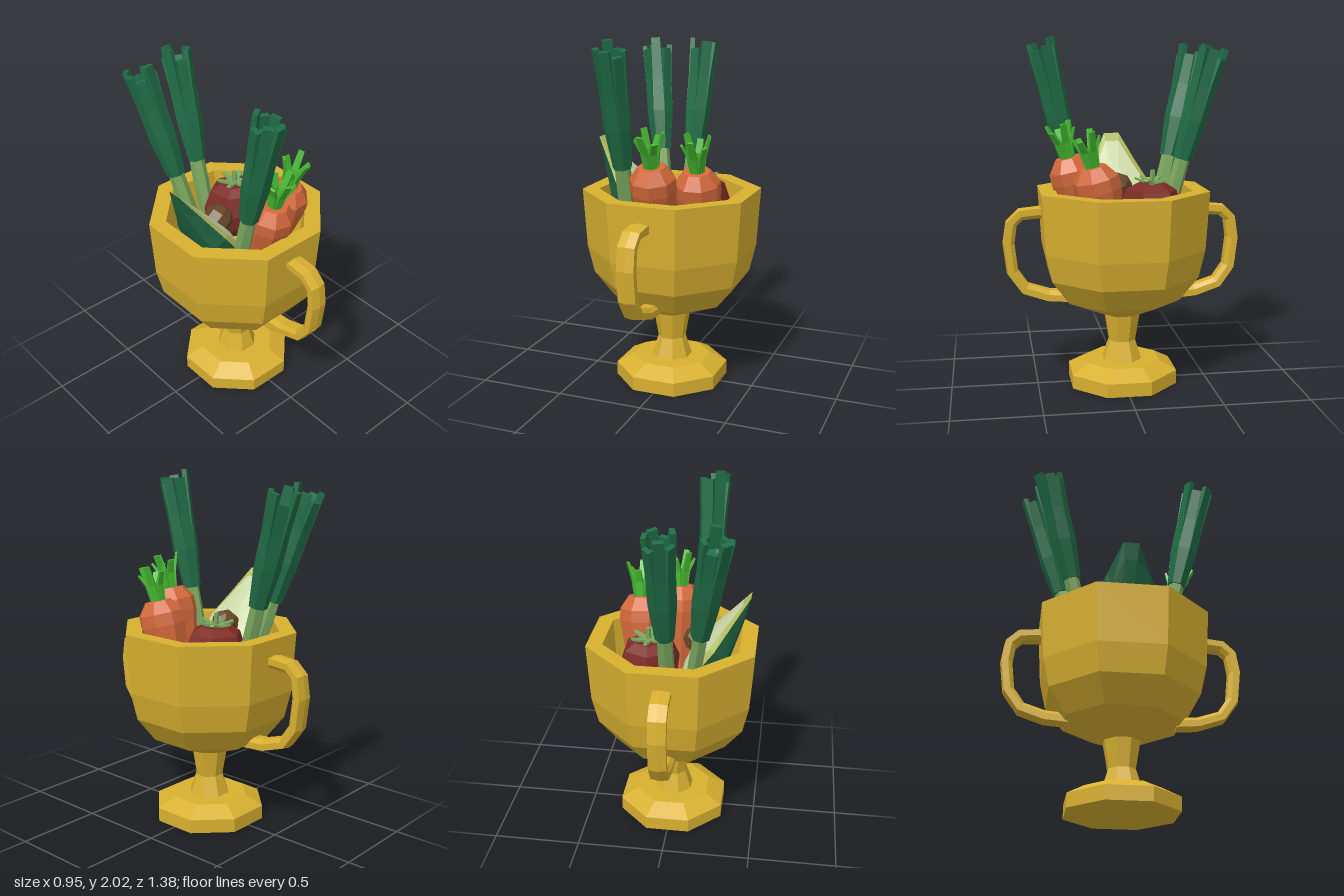
import * as THREE from 'three';

const mat = (name, color) => {
  const m = new THREE.MeshStandardMaterial({ color });
  m.name = name;
  return m;
};
const gold = mat('gold', 0xd8b030);
const orange = mat('carrotOrange', 0xd2683a);
const bright = mat('carrotLeafGreen', 0x43b52e);
const tomatoRed = mat('tomatoRed', 0x7d2b24);
const paleGreen = mat('stemGreen', 0x7aa65e);
const leekGreen = mat('leekLeafGreen', 0x1f6b45);
const skinGreen = mat('avocadoSkin', 0x1e6040);
const rimGreen = mat('avocadoRim', 0xb0bc60);
const flesh = mat('avocadoFlesh', 0xccd8a8);
const pitBrown = mat('pitBrown', 0x674526);

// Faceted mesh
function part(name, geo, material, parent) {
  const g = geo.index ? geo.toNonIndexed() : geo;
  g.computeVertexNormals();
  const mesh = new THREE.Mesh(g, material);
  mesh.name = name;
  parent.add(mesh);
  return mesh;
}

// Turned shape; the profile runs upward along the outside
const lathe = (pts, sides, phi = 0) =>
  new THREE.LatheGeometry(pts.map(([x, y]) => new THREE.Vector2(x, y)), sides, phi);

// Skin over rings of equal point count
function loft(rings, capStart = true, capEnd = true) {
  const pos = [];
  const tri = (...v) => v.forEach((p) => pos.push(p.x, p.y, p.z));
  const n = rings[0].length;
  const mid = (r) => r.reduce((s, p) => s.add(p), new THREE.Vector3()).divideScalar(n);
  const first = rings[0], last = rings[rings.length - 1];
  const c0 = mid(first), c1 = mid(last);
  for (let j = 0; j < n; j++) {
    const k = (j + 1) % n;
    for (let i = 0; i < rings.length - 1; i++) {
      const a = rings[i], b = rings[i + 1];
      tri(a[j], a[k], b[k]);
      tri(a[j], b[k], b[j]);
    }
    if (capStart) tri(c0, first[k], first[j]);
    if (capEnd) tri(c1, last[j], last[k]);
  }
  const g = new THREE.BufferGeometry();
  g.setAttribute('position', new THREE.Float32BufferAttribute(pos, 3));
  return g;
}

// Sweep a section [normal, side] along a path [radius, height, sideScale, normalScale]
const BOX = [[1, 1], [1, -1], [-1, -1], [-1, 1]];
function sweep(path, section = BOX) {
  return loft(path.map(([r, y, sw = 1, sn = 1], i) => {
    const a = path[Math.max(i - 1, 0)], b = path[Math.min(i + 1, path.length - 1)];
    const t = new THREE.Vector2(b[0] - a[0], b[1] - a[1]).normalize();
    return section.map(([n, w]) =>
      new THREE.Vector3(r + t.y * n * sn, y - t.x * n * sn, w * sw));
  }));
}

// Group standing at a point and leaning along a direction
function leaning(name, at, dir, parent) {
  const g = new THREE.Group();
  g.name = name;
  g.position.set(...at);
  g.quaternion.setFromUnitVectors(new THREE.Vector3(0, 1, 0), new THREE.Vector3(...dir).normalize());
  parent.add(g);
  return g;
}

function addCup(root) {
  const k = 1 / Math.cos(Math.PI / 8);
  const profile = [
    [0, 0], [0.305, 0], [0.305, 0.08], [0.21, 0.135], [0.11, 0.135], [0.075, 0.25],
    [0.1, 0.41], [0.32, 0.51], [0.42, 0.65], [0.455, 0.81], [0.475, 1.15],
    [0.385, 1.15], [0.365, 0.82], [0.3, 0.66], [0, 0.56],
  ].map(([x, y]) => [x * k, y]);
  part('cup', lathe(profile, 8, Math.PI / 8), gold, root);

  // Ear handles at front and back
  const path = [[0.3, 0.525], [0.43, 0.535], [0.565, 0.58], [0.635, 0.68], [0.655, 0.85],
    [0.638, 0.965], [0.585, 1.015], [0.48, 1.025], [0.43, 1.01]];
  const section = [[0.035, 0], [0.027, -0.05], [-0.01, -0.05], [-0.033, -0.028],
    [-0.033, 0.028], [-0.01, 0.05], [0.027, 0.05]];
  for (const s of [-1, 1]) {
    part(s < 0 ? 'frontHandle' : 'backHandle', sweep(path, section).rotateY(s * Math.PI / 2), gold, root);
  }
}

function addLeek(at, top, seed, root) {
  const dir = top.map((v, i) => v - at[i]);
  const len = Math.hypot(...dir);
  const g = leaning('leek', at, dir, root);
  part('leekStem', lathe([[0, -0.45], [0.045, -0.45], [0.046, 0.05], [0.043, 0.2], [0, 0.2]], 6), paleGreen, g);
  part('leekCore', lathe([[0, 0.18], [0.045, 0.18], [0.058, 0.4], [0.05, len - 0.12], [0, len - 0.14]], 6), leekGreen, g);
  for (let i = 0; i < 7; i++) {
    const drop = 0.035 + 0.035 * Math.sin(seed + i * 2.4);
    const leaf = sweep([[0.03, 0.17, 0.024, 0.018], [0.05, 0.4, 0.034, 0.02],
      [0.055, 0.6, 0.03, 0.018], [0.072, len - drop, 0.027, 0.014]]);
    part('leekLeaf', leaf.rotateY(seed + i * Math.PI * 2 / 7), leekGreen, g);
  }
}

function addCarrot(at, dir, turn, root) {
  const g = leaning('carrot', at, dir, root);
  part('carrotRoot', lathe([[0, -0.62], [0.05, -0.55], [0.105, -0.3], [0.132, -0.14],
    [0.13, -0.07], [0.078, 0], [0, 0]], 8, turn), orange, g);
  part('carrotCrown', lathe([[0.042, -0.01], [0.04, 0.05], [0, 0.06]], 6), bright, g);
  for (let i = 0; i < 6; i++) {
    const h = i % 2 ? 0.16 : 0.2;
    const leaf = sweep([[0.025, -0.01, 0.018, 0.014], [0.042, 0.09, 0.02, 0.01], [0.078, h, 0.017, 0.006]]);
    part('carrotLeaf', leaf.rotateY(turn + i * Math.PI / 3), bright, g);
  }
}

function addTomato(root) {
  const g = leaning('tomato', [0.12, 1.19, -0.155], [0.02, 1, -0.05], root);
  part('tomatoBody', lathe([[0, -0.34], [0.09, -0.32], [0.165, -0.24], [0.188, -0.14],
    [0.145, -0.03], [0.085, 0.005], [0, -0.005]], 6, 0.06), tomatoRed, g);
  part('tomatoStalk', lathe([[0.016, -0.01], [0.014, 0.08], [0, 0.08]], 5), paleGreen, g);
  for (let i = 0; i < 6; i++) {
    const sepal = sweep([[0, 0.01, 0.016, 0.006], [0.06, 0.016, 0.016, 0.006], [0.1, 0.03, 0.011, 0.005]]);
    part('tomatoSepal', sepal.rotateY(0.5 + i * Math.PI / 3), paleGreen, g);
  }
}

function addAvocado(root) {
  const g = new THREE.Group();
  g.name = 'avocadoHalf';
  root.add(g);
  // Pear outline [distance from tip, half width]
  const half = [[0, 0.045], [0.18, 0.125], [0.33, 0.197], [0.48, 0.2], [0.58, 0.145], [0.63, 0.07]];
  const outline = [...half.map(([s, w]) => [s, -w]), ...half.slice().reverse()];
  const ring = (scale, depth) => outline.map(([s0, w]) => {
    const s = 0.45 + (s0 - 0.45) * scale;
    const d = depth * Math.min(1, 0.2 + 1.9 * s);
    return new THREE.Vector3(-0.43 + 0.618 * s + 0.786 * d, 1.435 - 0.786 * s + 0.618 * d, -w * scale);
  });
  const edge = ring(1, -0.035), inner = ring(0.86, 0);
  part('avocadoSkin', loft([ring(0.45, -0.17), ring(0.8, -0.14), edge], true, false), skinGreen, g);
  part('avocadoRim', loft([edge, inner], false, false), rimGreen, g);
  part('avocadoFlesh', loft([inner, ring(0.4, 0.025)], false, true), flesh, g);
  const pit = part('avocadoPit', new THREE.SphereGeometry(0.085, 8, 5), pitBrown, g);
  pit.position.set(-0.14, 1.14, 0);
  pit.rotation.z = -0.9;
}

export function createModel() {
  const root = new THREE.Group();
  root.name = 'vegetableTrophy';
  addCup(root);
  addLeek([-0.175, 1.15, 0.26], [-0.18, 2.0, 0.45], 0.3, root);
  addLeek([-0.16, 1.15, -0.27], [-0.285, 1.95, -0.48], 1.4, root);
  addLeek([0, 1.15, -0.31], [0.005, 1.96, -0.53], 2.6, root);
  addCarrot([0, 1.335, 0.31], [0.02, 1, 0.25], 0.2, root);
  addCarrot([0.22, 1.305, 0.195], [0.04, 1, 0.25], 0.5, root);
  addTomato(root);
  addAvocado(root);
  return root;
}
